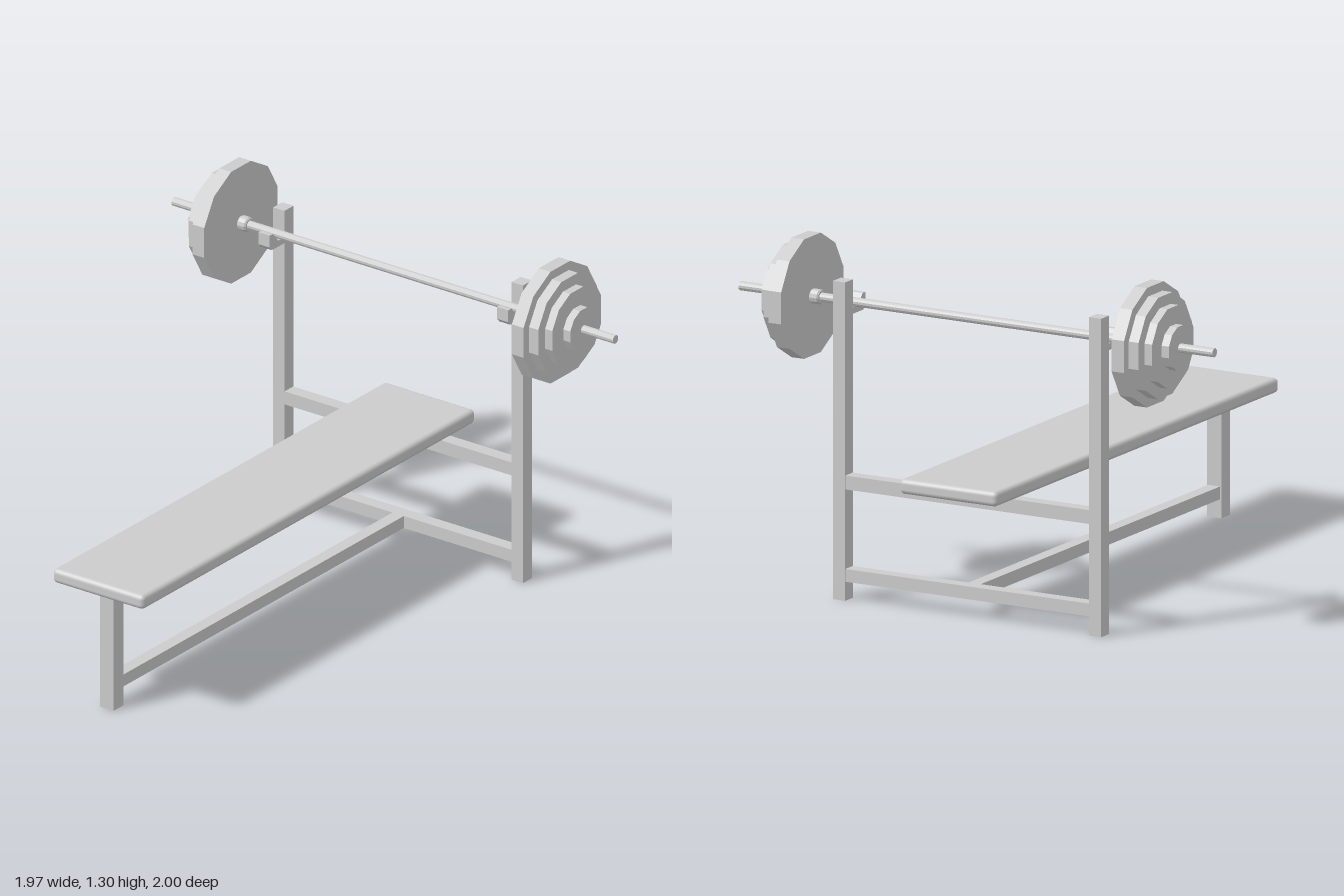
import * as THREE from 'three';
import { RoundedBoxGeometry } from 'three/addons/geometries/RoundedBoxGeometry.js';

const grey = new THREE.MeshStandardMaterial({ color: 0xcccccc, flatShading: true });
const smoothGrey = new THREE.MeshStandardMaterial({ color: 0xcccccc });
const BAR_Y = 1.085, BAR_Z = -0.78;

export function createModel() {
  const model = new THREE.Group();
  model.name = 'weightBench';

  const add = (name, geometry, parent = model, material = grey) => {
    const mesh = new THREE.Mesh(geometry, material);
    mesh.name = name;
    parent.add(mesh);
    return mesh;
  };
  // Box given by its limits on each axis
  const box = (name, [x0, x1], [y0, y1], [z0, z1]) =>
    add(name, new THREE.BoxGeometry(x1 - x0, y1 - y0, z1 - z0))
      .position.set((x0 + x1) / 2, (y0 + y1) / 2, (z0 + z1) / 2);

  // Padded board
  add('benchPad', new RoundedBoxGeometry(0.406, 0.055, 1.993, 3, 0.018), model, smoothGrey)
    .position.set(0, 0.4885, 0.004);

  // Frame
  box('frontLeg', [-0.03, 0.03], [0, 0.465], [0.885, 0.944]);
  box('lengthRail', [-0.025, 0.025], [0.07, 0.117], [-0.8, 0.885]);
  box('lowerCrossbar', [-0.508, 0.508], [0.07, 0.117], [-0.852, -0.8]);
  box('upperCrossbar', [-0.508, 0.508], [0.41, 0.461], [-0.852, -0.8]);

  // Bar cradle profile, drawn as (z, y) and extruded across the upright
  const cradle = new THREE.Shape([
    [-0.8, 1.045], [-0.725, 1.045], [-0.711, 1.06], [-0.711, 1.107], [-0.73, 1.107],
    [-0.763, 1.069], [-0.8, 1.069],
  ].map(([z, y]) => new THREE.Vector2(-z, y)).reverse());

  for (const side of [-1, 1]) {
    const x = side * 0.531;
    box(side > 0 ? 'leftUpright' : 'rightUpright', [x - 0.025, x + 0.025], [0, 1.172], [-0.854, -0.799]);
    const hook = new THREE.ExtrudeGeometry(cradle, { depth: 0.05, bevelEnabled: false });
    hook.translate(0, 0, -0.025).rotateY(Math.PI / 2);
    add(side > 0 ? 'leftHook' : 'rightHook', hook).position.x = x;
  }

  // Barbell, built along x about its own axis
  const barbell = new THREE.Group();
  barbell.name = 'barbell';
  barbell.position.set(0, BAR_Y, BAR_Z);
  model.add(barbell);

  // Twelve-sided disc with flats on the axes; r is measured to the flats
  const disc = (name, r, x0, x1) => {
    const R = r / Math.cos(Math.PI / 12);
    const g = new THREE.CylinderGeometry(R, R, Math.abs(x1 - x0), 12, 1, false, Math.PI / 12);
    g.rotateZ(Math.PI / 2);
    add(name, g, barbell).position.x = (x0 + x1) / 2;
  };
  disc('bar', 0.016, -0.983, 0.983);

  const plates = [[0.22, 0.685, 0.737], [0.187, 0.737, 0.778], [0.146, 0.778, 0.81], [0.08, 0.81, 0.841]];
  for (const side of [-1, 1]) {
    const label = side > 0 ? 'left' : 'right';
    plates.forEach(([r, a, b], i) => disc(`${label}Plate${i + 1}`, r, side * a, side * b));

    // Collar with a small bevel at each end
    const profile = [[0, 0.647], [0.023, 0.647], [0.028, 0.653], [0.028, 0.68], [0.024, 0.686], [0, 0.686]]
      .map(([r, h]) => new THREE.Vector2(r, h));
    const collar = new THREE.LatheGeometry(profile, 12);
    collar.rotateZ(-side * Math.PI / 2);
    add(`${label}Collar`, collar, barbell);
  }
  return model;
}
